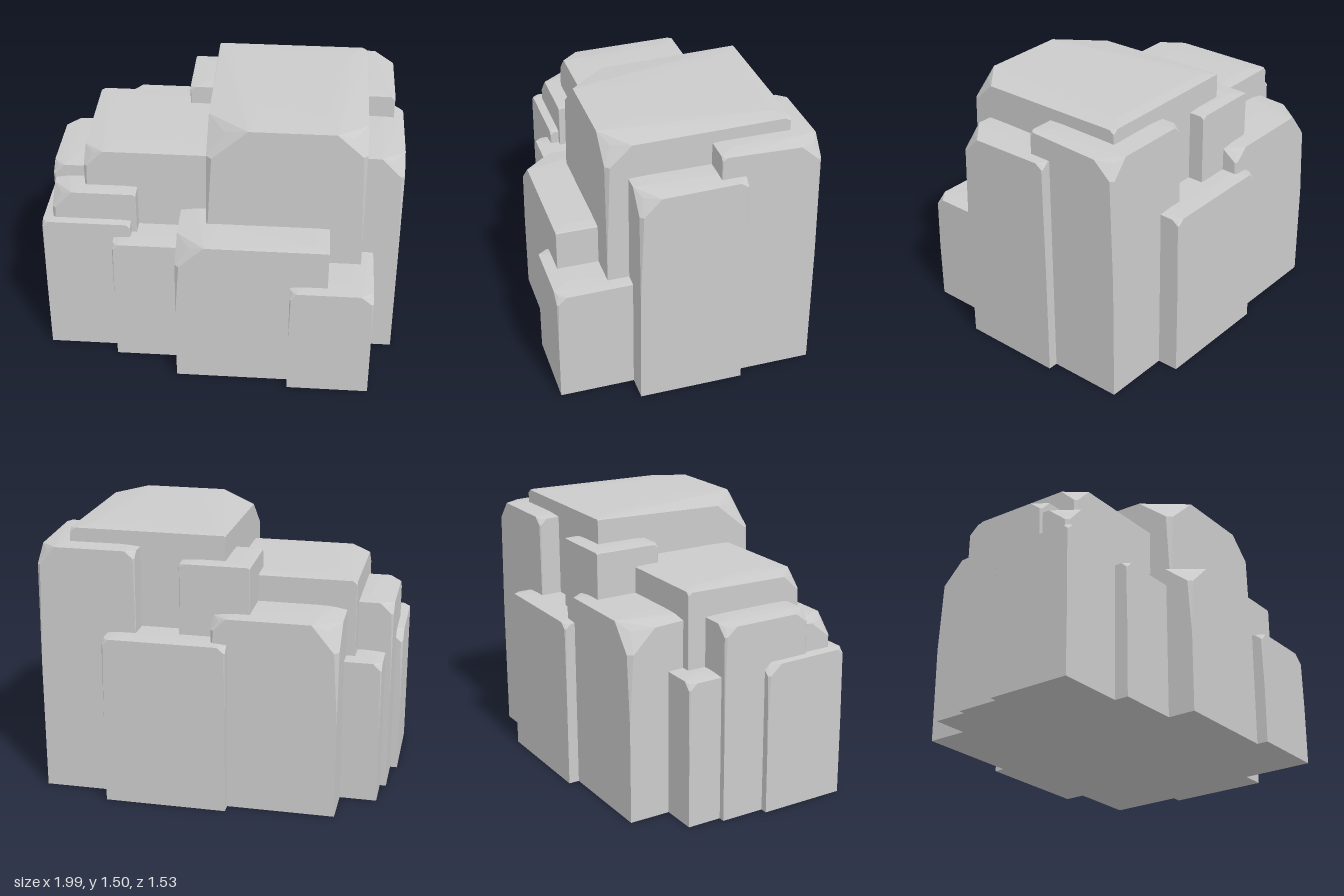
import * as THREE from 'three';
import { ConvexGeometry } from 'three/addons/geometries/ConvexGeometry.js';

// Small seeded generator for minor edge wear
function makeRandom(seed) {
  return () => {
    seed = (seed * 16807) % 2147483647;
    return seed / 2147483647;
  };
}

// Hull of an upright block. Chips give the size of the broken top corners:
// bl, br = -x/+x at the back; fl, fr = -x/+x at the front. Other corners get slight wear.
function chippedBlock(x0, x1, z0, z1, h, chips, random) {
  const points = [];
  const add = (x, y, z) => points.push(new THREE.Vector3(x, y, z));
  for (const back of [true, false]) {
    for (const left of [true, false]) {
      const x = left ? x0 : x1, z = back ? z0 : z1;
      const sx = left ? 1 : -1, sz = back ? 1 : -1; // directions into the block
      const size = chips[(back ? 'b' : 'f') + (left ? 'l' : 'r')] ?? 0.01 + 0.02 * random();
      const dx = size * (0.85 + 0.3 * random());
      const dz = size * (0.85 + 0.3 * random());
      const shoulder = h - size * 0.9;
      const bevel = size * 0.15;
      // sharp lower edge, narrow bevel widening up to the shoulder
      add(x, 0, z);
      add(x, h * 0.5, z);
      add(x + sx * bevel, shoulder, z);
      add(x, shoulder, z + sz * bevel);
      // broken facets around the top corner
      add(x + sx * dx, h - 0.004, z);
      add(x, h - 0.004 - size * 0.12, z + sz * dz);
      add(x + sx * dx * 0.45, h - size * 0.27, z + sz * dz * 0.3);
      add(x + sx * (dx + 0.06), h, z + sz * (dz + 0.05));
    }
  }
  return new ConvexGeometry(points);
}

export function createModel() {
  const group = new THREE.Group();
  group.name = 'rockCluster';
  const stone = new THREE.MeshStandardMaterial({ color: 0xcccccc, flatShading: true });
  const random = makeRandom(41);
  const block = (name, x0, x1, z0, z1, h, chips) => {
    const mesh = new THREE.Mesh(chippedBlock(x0, x1, z0, z1, h, chips, random), stone);
    mesh.name = name;
    group.add(mesh);
  };

  // Tall core
  block('mainBlock', -0.08, 0.78, -0.53, 0.47, 1.5, { fl: 0.2, fr: 0.15 });
  block('leftBlock', -0.77, 0.05, -0.385, 0.325, 1.25, { fl: 0.11, fr: 0.05 });

  // Front steps
  block('frontBlock', -0.235, 0.6, 0, 0.7, 0.9, { fl: 0.15 });
  block('frontRightBlock', 0.395, 0.85, 0.25, 0.765, 0.67, { fl: 0.05, fr: 0.06 });
  block('frontLeftBlock', -0.6, -0.15, 0.1, 0.54, 0.78, { fl: 0.04, fr: 0.05 });

  // Right side
  block('rightBlock', 0.6, 0.99, -0.23, 0.35, 1.29, { fr: 0.13, br: 0.04 });
  block('backRightBlock', 0.39, 0.935, -0.65, -0.1, 1.42, { br: 0.12, bl: 0.05 });

  // Back
  block('backBlock', -0.125, 0.55, -0.77, -0.3, 0.96, { bl: 0.04, br: 0.04 });
  block('backUpperBlock', -0.23, 0.155, -0.62, -0.24, 1.36, {});
  block('backLeftBlock', -0.72, -0.035, -0.71, -0.1, 1.1, { bl: 0.17, br: 0.08 });
  block('backLeftColumn', -0.925, -0.5, -0.475, -0.1, 0.82, { bl: 0.05 });

  // Left side
  block('sideBlock', -0.96, -0.4, -0.28, 0.24, 1.1, { bl: 0.07, fl: 0.07 });
  block('sideFrontBlock', -0.945, -0.475, 0, 0.41, 1.03, { fl: 0.12 });
  block('outerLeftBlock', -1, -0.505, -0.03, 0.46, 0.86, { fl: 0.04, bl: 0.08 });
  return group;
}
